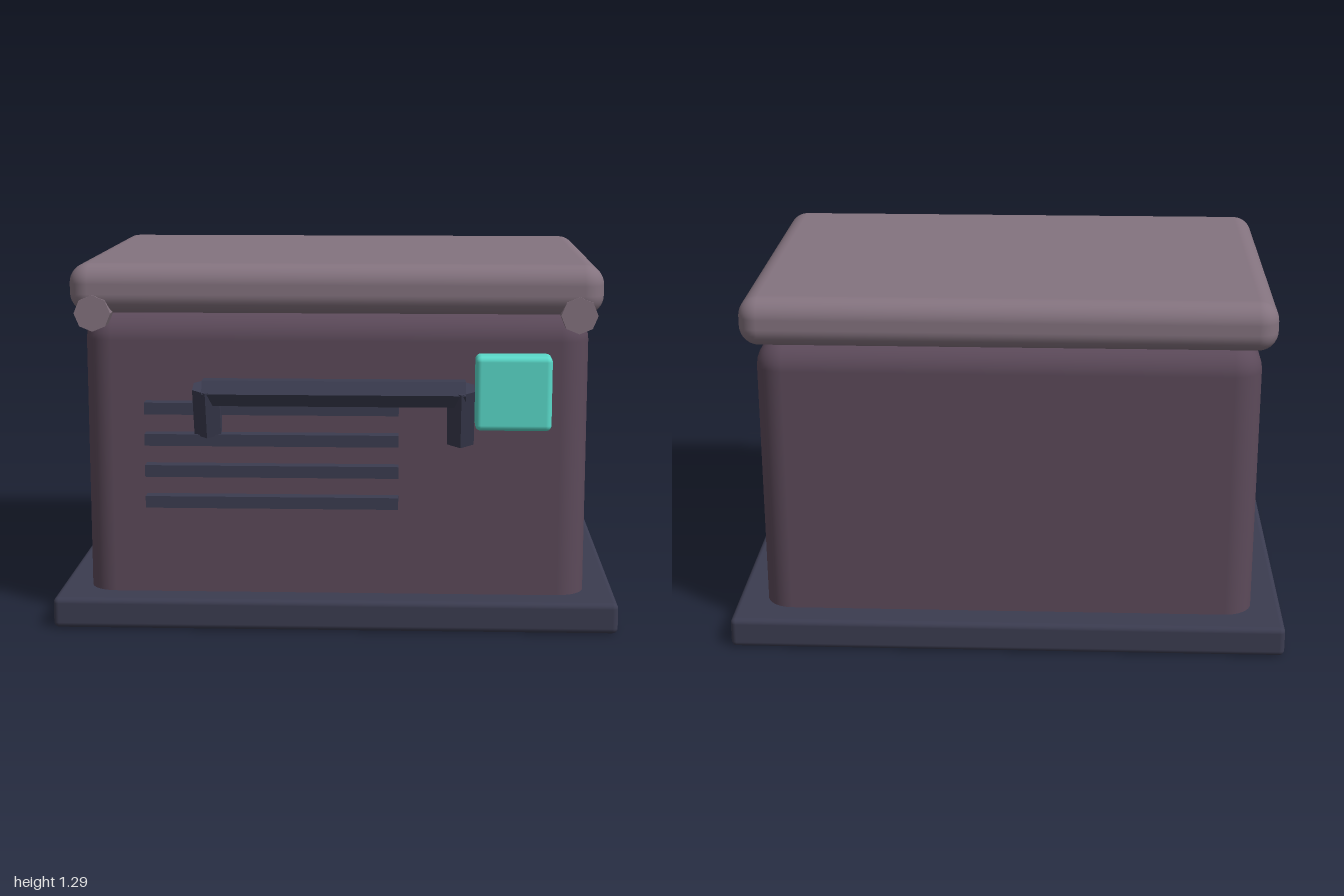
import * as THREE from 'three';
import { RoundedBoxGeometry } from 'three/addons/geometries/RoundedBoxGeometry.js';

const paint = (name, color, flatShading = false) => {
  const m = new THREE.MeshStandardMaterial({ color, flatShading });
  m.name = name;
  return m;
};

export function createModel() {
  const group = new THREE.Group();
  group.name = 'storageBox';
  const plum = paint('plum', 0x5c4a5a);
  const mauve = paint('mauve', 0x84737f);
  const slate = paint('slate', 0x3b3c50);
  const teal = paint('teal', 0x5adaca);
  // Facet normals come from the non-indexed geometry of the small parts
  const add = (name, geometry, material, x = 0, y = 0, z = 0) => {
    const mesh = new THREE.Mesh(geometry, material);
    mesh.name = name;
    mesh.position.set(x, y, z);
    group.add(mesh);
    return mesh;
  };
  const faceted = (geometry) => {
    const g = geometry.toNonIndexed();
    g.computeVertexNormals();
    return g;
  };

  // Plinth, body and overhanging padded lid
  add('base', new RoundedBoxGeometry(2, 0.11, 1.44, 3, 0.02), slate, 0, 0.055);
  add('body', new RoundedBoxGeometry(1.78, 1.11, 1.22, 4, 0.1), plum, 0, 0.565);
  add('lid', new RoundedBoxGeometry(1.865, 0.175, 1.31, 5, 0.07), mauve, 0, 1.203);

  // Octagonal pins under the front corners of the lid
  for (const side of [-1, 1]) {
    const pin = faceted(new THREE.CylinderGeometry(0.064, 0.064, 0.08, 8).rotateX(Math.PI / 2));
    add(side < 0 ? 'rightPin' : 'leftPin', pin, mauve, side * 0.845, 1.12, 0.62);
  }

  // Front vent slats
  for (let i = 0; i < 4; i++) {
    add('ventSlat', new THREE.BoxGeometry(0.893, 0.042, 0.06), slate, -0.223, 0.45 + i * 0.1118, 0.63);
  }

  // Square latch plate
  add('latch', new RoundedBoxGeometry(0.265, 0.262, 0.11, 3, 0.02), teal, 0.622, 0.85, 0.639);

  // Faceted pull handle: a bar on two legs leaning back to the body
  const rod = (name, a, b, radius) => {
    const dir = b.clone().sub(a);
    const mesh = add(name, faceted(new THREE.CylinderGeometry(radius, radius, dir.length(), 6)), slate);
    mesh.position.copy(a).add(b).multiplyScalar(0.5);
    mesh.quaternion.setFromUnitVectors(new THREE.Vector3(0, 1, 0), dir.normalize());
  };
  const v = (x, y, z) => new THREE.Vector3(x, y, z);
  rod('handleBar', v(-0.46, 0.848, 0.672), v(0.455, 0.848, 0.672), 0.052);
  rod('handleRightLeg', v(-0.447, 0.868, 0.677), v(-0.447, 0.7, 0.622), 0.054);
  rod('handleLeftLeg', v(0.44, 0.868, 0.677), v(0.44, 0.67, 0.612), 0.054);

  return group;
}
